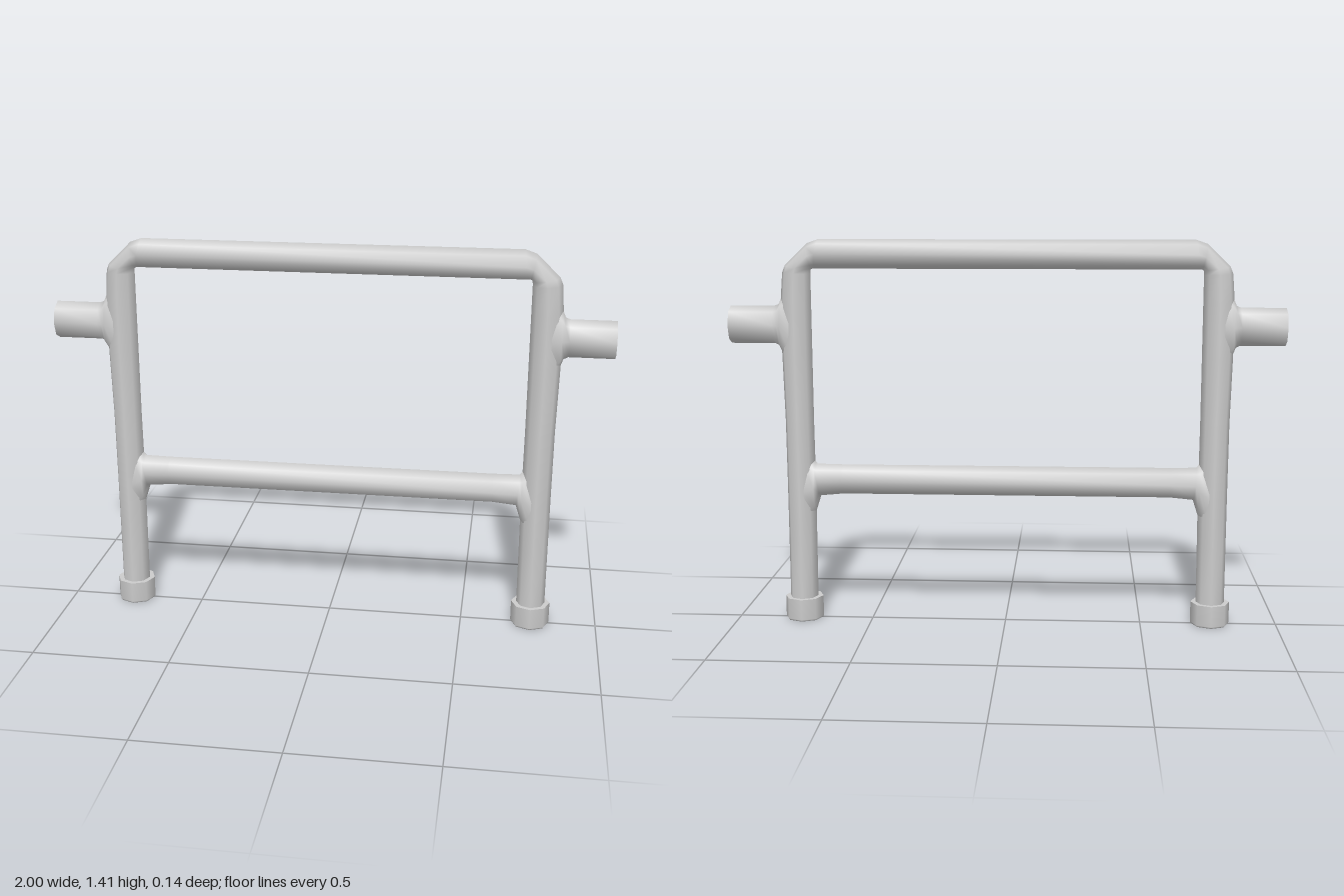
import * as THREE from 'three';

const SIDES = 8;
const LEG_X = 0.757;
const material = new THREE.MeshStandardMaterial({ color: 0xcccccc, side: THREE.DoubleSide });

// Octagonal tube through cross-sections [ax, ay, bx, by, rz]:
// a and b are opposite points of the ring in the xy plane, rz its half depth.
function loft(name, sections) {
  const positions = [], index = [];
  for (const [ax, ay, bx, by, rz] of sections) {
    for (let j = 0; j < SIDES; j++) {
      const t = (j / SIDES) * Math.PI * 2, c = Math.cos(t) / 2;
      positions.push((ax + bx) / 2 + (ax - bx) * c, (ay + by) / 2 + (ay - by) * c, rz * Math.sin(t));
    }
  }
  for (let i = 0; i < sections.length - 1; i++) {
    for (let j = 0; j < SIDES; j++) {
      const k = (j + 1) % SIDES;
      const p = i * SIDES + j, q = i * SIDES + k;
      index.push(p, p + SIDES, q, q, p + SIDES, q + SIDES);
    }
  }
  // reverse corner order so that faces point outwards
  for (let i = 0; i < index.length; i += 3) [index[i + 1], index[i + 2]] = [index[i + 2], index[i + 1]];
  const geometry = new THREE.BufferGeometry();
  geometry.setAttribute('position', new THREE.Float32BufferAttribute(positions, 3));
  geometry.setIndex(index);
  geometry.computeVertexNormals();
  const mesh = new THREE.Mesh(geometry, material);
  mesh.name = name;
  return mesh;
}

// The same sections on the other side of x = 0, travelling the opposite way
const mirror = (sections) => sections.map(([ax, ay, bx, by, rz]) => [-ax, ay, -bx, by, rz]).reverse();

export function createModel() {
  const group = new THREE.Group();
  group.name = 'tubularFrame';

  // Legs and top bar: one bent tube with chamfered corners
  const legToBar = [
    [0.809, 0.04, 0.705, 0.04, 0.054],
    [0.809, 0.3, 0.704, 0.3, 0.054],
    [0.809, 0.5, 0.703, 0.5, 0.057],
    [0.81, 0.75, 0.705, 0.75, 0.054],
    [0.816, 1.0, 0.705, 1.0, 0.055],
    [0.816, 1.19, 0.705, 1.19, 0.055],
    [0.808, 1.29, 0.705, 1.285, 0.055],
    [0.798, 1.315, 0.704, 1.3, 0.055],
    [0.715, 1.395, 0.698, 1.304, 0.055],
    [0.675, 1.409, 0.688, 1.304, 0.055],
  ];
  group.add(loft('legsAndTopBar', [...legToBar, ...mirror(legToBar)]));

  // Lower cross bar, flared where it meets the legs
  const barEnd = [
    [0.74, 0.63, 0.74, 0.34, 0.052],
    [0.704, 0.6, 0.704, 0.41, 0.054],
    [0.695, 0.588, 0.685, 0.468, 0.055],
    [0.6, 0.586, 0.6, 0.476, 0.055],
  ];
  group.add(loft('lowerCrossBar', [...barEnd, ...mirror(barEnd)]));

  // Open side stubs with a fillet at the leg
  const stub = [
    [0.78, 0.95, 0.78, 1.23, 0.05],
    [0.814, 1.0, 0.814, 1.2, 0.054],
    [0.824, 1.026, 0.824, 1.176, 0.055],
    [0.84, 1.034, 0.84, 1.17, 0.056],
    [1.0, 1.034, 1.0, 1.17, 0.056],
  ];
  group.add(loft('leftStub', stub), loft('rightStub', mirror(stub)));

  // Foot caps
  const profile = [[0, 0], [0.068, 0], [0.071, 0.006], [0.071, 0.083], [0.071, 0.083], [0.045, 0.083]];
  const footGeometry = new THREE.LatheGeometry(profile.map(([r, y]) => new THREE.Vector2(r, y)), SIDES);
  for (const side of [1, -1]) {
    const foot = new THREE.Mesh(footGeometry, material);
    foot.name = side > 0 ? 'leftFoot' : 'rightFoot';
    foot.position.x = side * LEG_X;
    group.add(foot);
  }
  return group;
}
